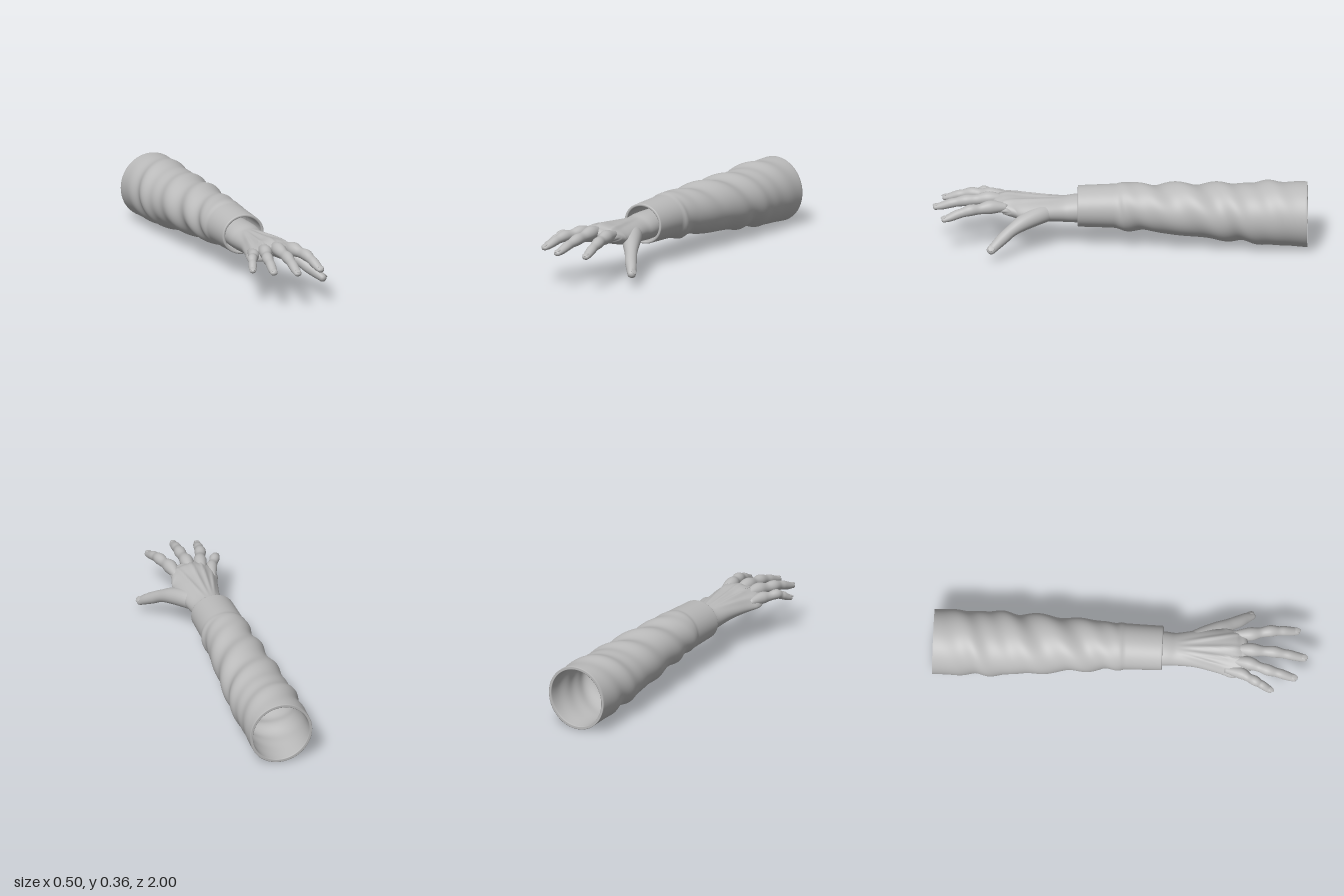
import * as THREE from 'three';

const V = (x, y, z) => new THREE.Vector3(x, y, z);

// Skin over a list of vertex rings; 'loop' joins the last ring to the first
function skin(rings, loop = false) {
  const m = rings[0].length, n = rings.length, pos = [], idx = [];
  rings.forEach(r => r.forEach(p => pos.push(p.x, p.y, p.z)));
  for (let i = 0; i < (loop ? n : n - 1); i++) {
    for (let j = 0; j < m; j++) {
      const k = (i + 1) % n, a = i * m + j, b = i * m + (j + 1) % m;
      const c = k * m + (j + 1) % m, d = k * m + j;
      idx.push(a, b, c, a, c, d);
    }
  }
  const g = new THREE.BufferGeometry();
  g.setAttribute('position', new THREE.Float32BufferAttribute(pos, 3));
  g.setIndex(idx);
  g.computeVertexNormals();
  return g;
}

// Smooth sampler over rows of [x, y, z, half width, half height]
function sampler(rows, up = V(0, 1, 0)) {
  const path = new THREE.CatmullRomCurve3(rows.map(r => V(r[0], r[1], r[2])), false, 'catmullrom', 0.5);
  const size = new THREE.CatmullRomCurve3(rows.map(r => V(r[3], r[4], 0)), false, 'catmullrom', 0.5);
  return u => {
    const t = path.getTangent(u), s = up.clone().cross(t).normalize(), n = t.clone().cross(s), r = size.getPoint(u);
    return { p: path.getPoint(u), t, s, n, w: r.x, h: r.y };
  };
}

function ringAt(f, segs, scale = 1, shift = 0) {
  return Array.from({ length: segs }, (_, j) => {
    const a = j / segs * Math.PI * 2;
    return f.p.clone().addScaledVector(f.t, shift)
      .addScaledVector(f.s, f.w * scale * Math.cos(a))
      .addScaledVector(f.n, f.h * scale * Math.sin(a));
  });
}

// Limb with a rounded end
function limb(rows, steps, segs, up) {
  const at = sampler(rows, up), rings = [ringAt(at(0), segs, 0.001)];
  for (let i = 0; i <= steps; i++) rings.push(ringAt(at(i / steps), segs));
  const end = at(1);
  for (let k = 1; k <= 6; k++) {
    const a = k / 6 * Math.PI / 2;
    rings.push(ringAt(end, segs, Math.max(Math.cos(a), 0.001), Math.sin(a) * end.h));
  }
  return { rings, at };
}

// Knuckle, middle joint and tip of each finger, with a thickness factor
const fingers = [
  { name: 'littleFinger', base: [-0.155, 0.232, 0.645], joint: [-0.198, 0.237, 0.725], tip: [-0.232, 0.197, 0.808], k: 0.87 },
  { name: 'ringFinger', base: [-0.105, 0.256, 0.685], joint: [-0.138, 0.25, 0.79], tip: [-0.164, 0.211, 0.933], k: 0.98 },
  { name: 'middleFinger', base: [-0.033, 0.264, 0.695], joint: [-0.034, 0.25, 0.82], tip: [-0.046, 0.206, 0.982], k: 1 },
  { name: 'indexFinger', base: [0.06, 0.252, 0.685], joint: [0.086, 0.244, 0.795], tip: [0.107, 0.198, 0.936], k: 1 },
];

const smooth = (a, b, x) => THREE.MathUtils.smoothstep(x, a, b);

function sleeveGeometry() {
  const rows = [
    [-0.033, 0.179, -1, 0.173, 0.176], [-0.033, 0.186, -0.8, 0.173, 0.168], [-0.031, 0.192, -0.6, 0.168, 0.152],
    [-0.029, 0.203, -0.4, 0.155, 0.142], [-0.028, 0.214, -0.2, 0.139, 0.129], [-0.03, 0.224, 0, 0.125, 0.118],
    [-0.03, 0.223, 0.22, 0.12, 0.109],
  ];
  const col = c => new THREE.CatmullRomCurve3(rows.map(r => V(r[c], 0, r[2])));
  const at = sampler(rows), segs = 72;
  const ring = (u, inset) => {
    const f = at(u);
    return Array.from({ length: segs }, (_, j) => {
      const a = j / segs * Math.PI * 2, z = f.p.z;
      // Spiral cloth folds, fading at the open end and the cuff
      const fade = smooth(-1, -0.75, z) * (1 - smooth(-0.03, 0.025, z));
      const wave = Math.sin(z * 26 - 2 * a + 0.6) * 0.006 + Math.sin(z * 37 - 3 * a + Math.sin(z * 9)) * 0.004;
      const seam = 0.005 * smooth(-0.12, -0.01, z) * (1 - smooth(0.0, 0.025, z));
      const d = wave * fade + seam - inset;
      return V(f.p.x + (f.w + d) * Math.cos(a), f.p.y + (f.h + d) * Math.sin(a), z);
    });
  };
  const rings = [], steps = 120, wall = 0.015;
  for (let i = 0; i <= steps; i++) rings.push(ring(i / steps, 0));
  // Rounded rims at the cuff and at the open end
  const rim = (u, dir) => {
    for (let k = 1; k < 6; k++) {
      const a = k / 6 * Math.PI, inset = wall / 2 * (1 - dir * Math.cos(a));
      rings.push(ring(u, inset).map(p => p.setZ(p.z + dir * Math.sin(a) * 0.005)));
    }
  };
  rim(1, 1);
  for (let i = steps; i >= 0; i--) rings.push(ring(i / steps, wall));
  for (let k = 1; k < 6; k++) rings.push(ring(0, wall * (1 - k / 6)));
  return skin(rings, true);
}

function palmGeometry() {
  const { rings } = limb([
    [-0.03, 0.215, 0.08, 0.088, 0.072], [-0.028, 0.212, 0.22, 0.093, 0.074], [-0.028, 0.208, 0.3, 0.09, 0.067],
    [-0.023, 0.213, 0.4, 0.102, 0.063], [-0.026, 0.226, 0.5, 0.119, 0.057], [-0.035, 0.243, 0.6, 0.131, 0.05],
    [-0.043, 0.251, 0.66, 0.132, 0.043], [-0.042, 0.252, 0.7, 0.122, 0.032],
  ], 60, 96);
  for (const p of rings.flat()) {
    // Slant the knuckle row back on the outer edge, then arch the palm
    const front = smooth(0.5, 0.7, p.z), top = smooth(0.22, 0.26, p.y);
    p.z -= front * 0.05 * smooth(-0.09, -0.18, p.x);
    p.z -= front * 0.06 * smooth(0.06, 0.1, p.x);
    p.z -= front * 0.06 * (1 - smooth(-0.18, -0.1, p.x));
    p.y -= 1.9 * (p.x + 0.015) ** 2 * smooth(0.35, 0.62, p.z);
    // Tendons fanning from the wrist to the knuckles
    for (const { base } of fingers) {
      const t = THREE.MathUtils.clamp((p.z - 0.3) / (base[2] - 0.3), 0, 1);
      const x = THREE.MathUtils.lerp(-0.03 + base[0] * 0.25, base[0], t);
      p.y += top * Math.sin(Math.PI * t) * 0.009 * Math.exp(-(((p.x - x) / 0.011) ** 2));
    }
  }
  return skin(rings);
}

function fingerRows({ base, joint, tip, k }) {
  const b = V(...base), j = V(...joint), t = V(...tip);
  const row = (p, w, h, dy = 0) => [p.x, p.y + dy, p.z, w * k, h * k];
  const back = b.clone().add(V(-base[0] * 0.12, -0.003, -0.085));
  return [
    row(back, 0.02, 0.02), row(b, 0.036, 0.037), row(b.clone().lerp(j, 0.55), 0.027, 0.028, -0.002),
    row(j, 0.031, 0.031), row(j.clone().lerp(t, 0.3), 0.025, 0.025, 0.002), row(j.clone().lerp(t, 0.52), 0.026, 0.025, 0.003),
    row(j.clone().lerp(t, 0.78), 0.024, 0.021), row(t, 0.02, 0.015),
  ];
}

export function createModel() {
  const model = new THREE.Group();
  const grey = new THREE.MeshStandardMaterial({ color: 0xbababa });
  grey.name = 'plain grey';
  const add = (name, geometry, parent = model) => {
    const mesh = new THREE.Mesh(geometry, grey);
    mesh.name = name;
    parent.add(mesh);
    return mesh;
  };

  add('sleeve', sleeveGeometry());
  const hand = new THREE.Group();
  hand.name = 'hand';
  model.add(hand);
  add('palmAndWrist', palmGeometry(), hand);

  // Digit with a thin nail resting on its upper side
  const digit = (name, rows, up) => {
    const { rings, at } = limb(rows, 48, 24, up);
    add(name, skin(rings), hand);
    const f = at(0.985), nail = add(name + 'Nail', new THREE.SphereGeometry(1, 16, 10), hand);
    const m = new THREE.Matrix4().makeBasis(
      f.s.clone().multiplyScalar(f.w * 0.72), f.n.clone().multiplyScalar(0.004), f.t.clone().multiplyScalar(0.02));
    m.setPosition(f.p.clone().addScaledVector(f.n, f.h * 0.93));
    nail.applyMatrix4(m);
  };
  fingers.forEach(f => digit(f.name, fingerRows(f)));

  // Thumb, swelling into the palm at its root
  digit('thumb', [
    [-0.01, 0.212, 0.33, 0.045, 0.045], [0.045, 0.205, 0.42, 0.05, 0.05], [0.1, 0.182, 0.51, 0.044, 0.045],
    [0.145, 0.152, 0.575, 0.033, 0.034], [0.178, 0.12, 0.622, 0.032, 0.032], [0.205, 0.096, 0.655, 0.028, 0.028],
    [0.228, 0.073, 0.685, 0.024, 0.021],
  ], V(0.75, 0.65, 0));

  return model;
}
